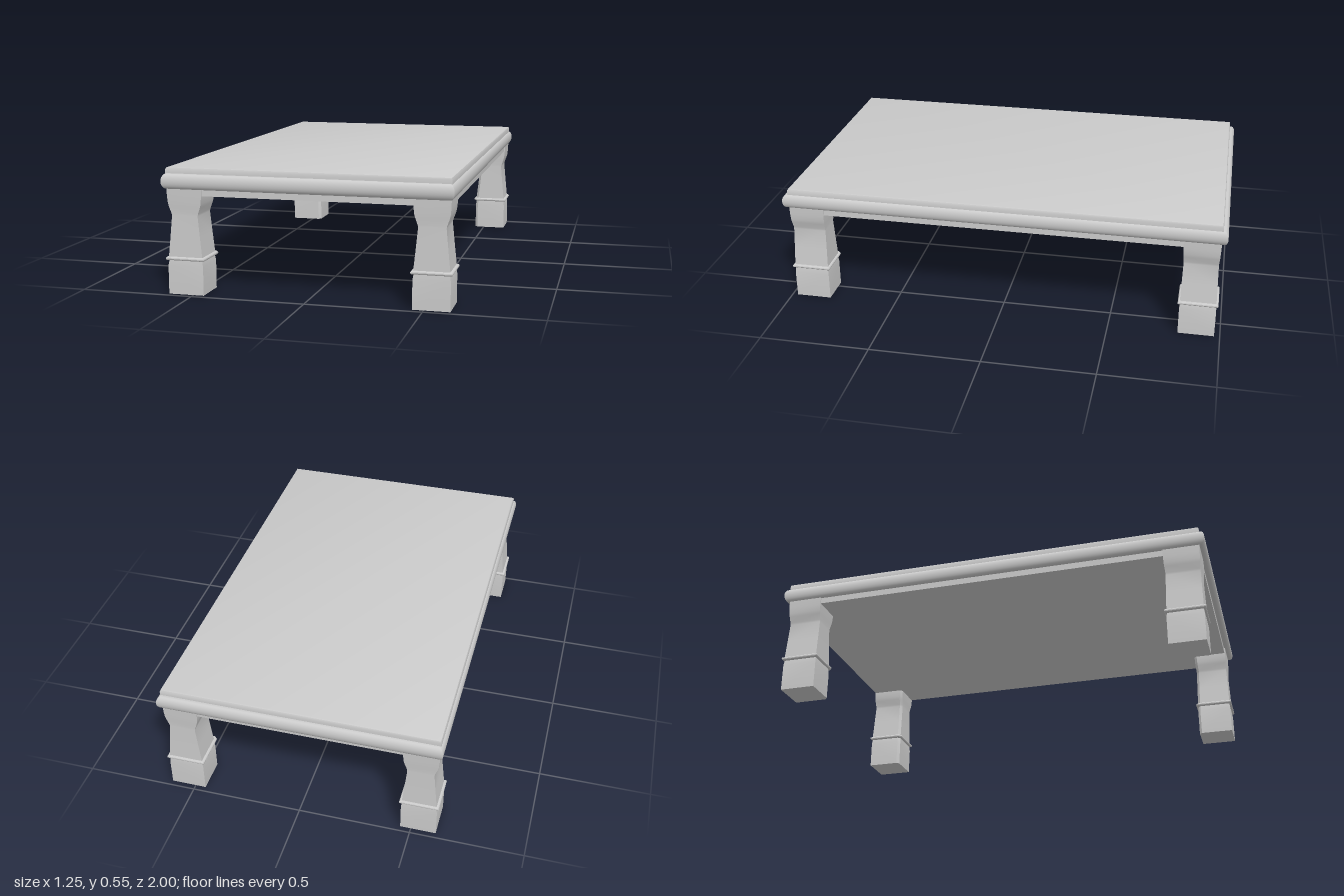
import * as THREE from 'three';
import { toCreasedNormals } from 'three/addons/utils/BufferGeometryUtils.js';

const material = new THREE.MeshStandardMaterial({ color: 0xcccccc });

// Rectangle loop, anticlockwise seen from above; chamfer cuts the (-x, -z) corner.
function rectLoop(hx, hz, y, chamfer = 0) {
  const loop = [[-hx, y, hz], [hx, y, hz], [hx, y, -hz]];
  if (chamfer) loop.push([-hx + chamfer, y, -hz], [-hx, y, -hz + chamfer]);
  else loop.push([-hx, y, -hz]);
  return loop;
}

// Skin a stack of loops from bottom to top and cap both ends.
function loft(loops) {
  const n = loops[0].length, index = [], last = (loops.length - 1) * n;
  for (let r = 0; r < loops.length - 1; r++) {
    for (let i = 0; i < n; i++) {
      const a = r * n + i, b = r * n + (i + 1) % n;
      index.push(a, b, b + n, a, b + n, a + n);
    }
  }
  for (let i = 1; i < n - 1; i++) {
    index.push(0, i + 1, i, last, last + i, last + i + 1);
  }
  const geometry = new THREE.BufferGeometry();
  geometry.setAttribute('position', new THREE.Float32BufferAttribute(loops.flat(2), 3));
  geometry.setIndex(index);
  return toCreasedNormals(geometry, 0.5);
}

function addMesh(parent, name, geometry) {
  const mesh = new THREE.Mesh(geometry, material);
  mesh.name = name;
  parent.add(mesh);
  return mesh;
}

// Square leg: the neck narrows across x and hardly at all across z.
function createLeg(sx, sz) {
  const leg = new THREE.Group();
  const end = sz > 0 ? 'front' : 'back';
  leg.name = end + (sx > 0 ? 'Left' : 'Right') + 'Leg';
  const section = ([hx, hz, y]) => rectLoop(hx, hz, y, 0.012);
  const foot = [[0.079, 0.081, 0], [0.079, 0.081, 0.125], [0.074, 0.078, 0.152]];
  const shaft = [
    [0.077, 0.08, 0.155], [0.067, 0.078, 0.25], [0.058, 0.076, 0.342], [0.06, 0.076, 0.352],
    [0.07, 0.078, 0.38], [0.074, 0.079, 0.395], [0.077, 0.08, 0.425], [0.078, 0.081, 0.46],
  ];
  const collar = [];
  for (let i = 0; i <= 6; i++) {
    const t = -Math.PI / 2 + i * Math.PI / 6;
    collar.push(rectLoop(0.079 + 0.008 * Math.cos(t), 0.081 + 0.008 * Math.cos(t), 0.156 + 0.008 * Math.sin(t), 0.012));
  }
  addMesh(leg, 'foot', loft(foot.map(section)));
  addMesh(leg, 'shaft', loft(shaft.map(section)));
  addMesh(leg, 'collar', loft(collar));

  // Turn the chamfered corner towards the table centre.
  const angle = { '1,1': 0, '1,-1': Math.PI / 2, '-1,-1': Math.PI, '-1,1': -Math.PI / 2 }[[sx, sz]];
  const swap = sx !== sz;
  for (const mesh of leg.children) {
    if (swap) {
      // Swap the x and z widths first, so the quarter turn restores them.
      const p = mesh.geometry.attributes.position, q = mesh.geometry.attributes.normal;
      for (const attr of [p, q]) {
        for (let i = 0; i < attr.count; i += 3) {
          const tri = [0, 1, 2].map(k => [attr.getZ(i + k), attr.getY(i + k), attr.getX(i + k)]);
          tri.reverse().forEach((v, k) => attr.setXYZ(i + k, ...v));
        }
      }
    }
    mesh.geometry.rotateY(angle);
  }
  leg.position.set(sx * 0.532, 0, sz * 0.894);
  return leg;
}

export function createModel() {
  const table = new THREE.Group();
  table.name = 'lowTable';

  // Apron slab closing the underside
  addMesh(table, 'apron', loft([rectLoop(0.605, 0.97, 0.43), rectLoop(0.605, 0.97, 0.465)]));

  // Mitred bullnose moulding around the edge
  const moulding = [rectLoop(0.6, 0.975, 0.458)];
  for (let i = 0; i <= 10; i++) {
    const t = -Math.PI / 2 + i * Math.PI / 10;
    const out = 0.019 * Math.cos(t);
    moulding.push(rectLoop(0.606 + out, 0.981 + out, 0.491 + 0.033 * Math.sin(t)));
  }
  addMesh(table, 'edgeMoulding', loft(moulding));

  // Thin stepped top with a small bevel
  addMesh(table, 'tableTop', loft([
    rectLoop(0.612, 0.977, 0.52), rectLoop(0.612, 0.977, 0.541),
    rectLoop(0.609, 0.974, 0.548), rectLoop(0.603, 0.968, 0.55),
  ]));

  for (const sx of [-1, 1]) for (const sz of [-1, 1]) table.add(createLeg(sx, sz));
  return table;
}
